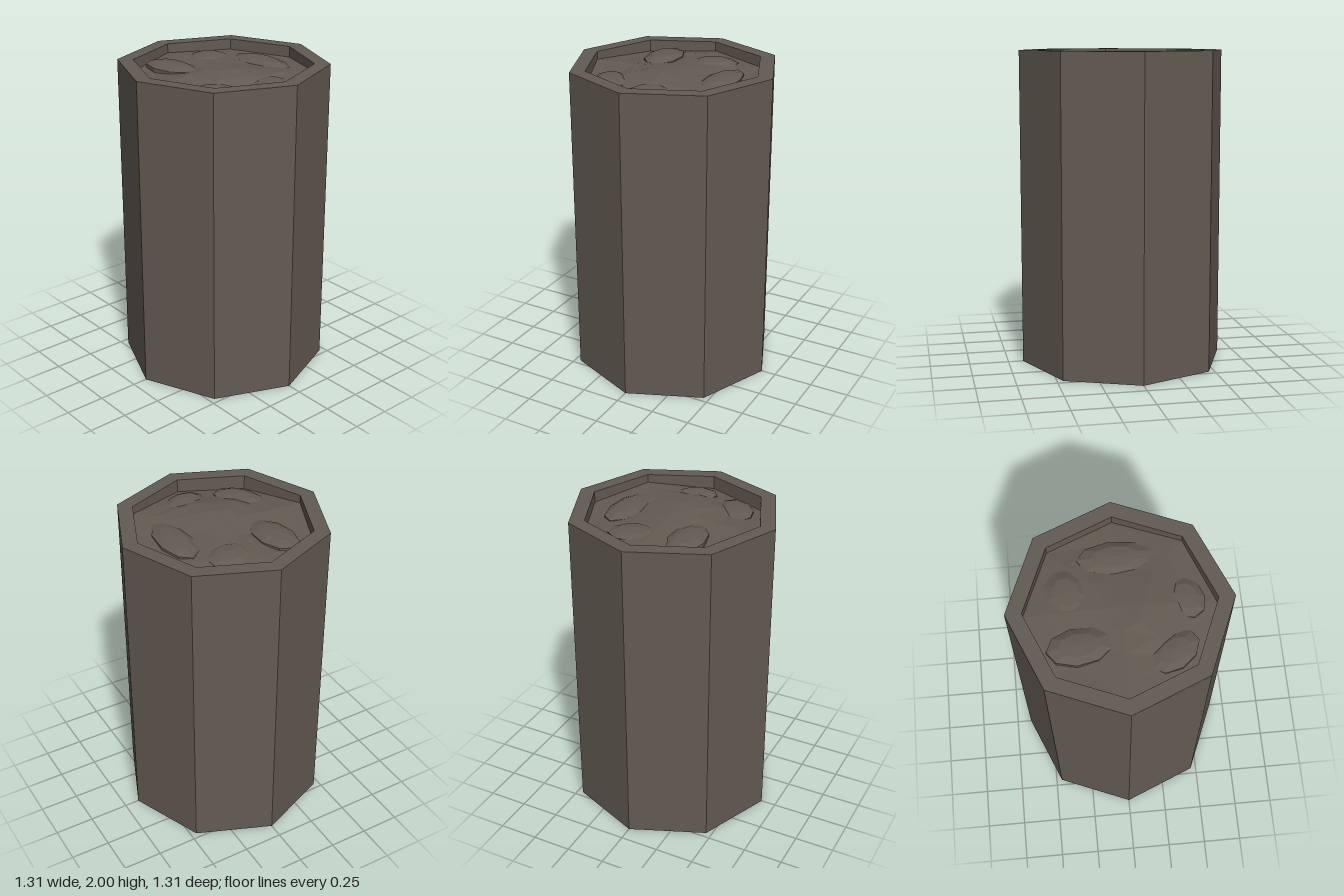
import * as THREE from 'three';

const SIDES = 8;

// Flat facets with hard edges
function faceted(geometry) {
  const g = geometry.toNonIndexed();
  g.computeVertexNormals();
  return g;
}

const profile = (pairs) => pairs.map(([r, y]) => new THREE.Vector2(r, y));

export function createModel() {
  const group = new THREE.Group();
  group.name = 'octagonalBarrel';
  const stone = new THREE.MeshStandardMaterial({ color: 0x635b52 });
  stone.name = 'brown grey';

  const add = (name, geometry) => {
    const mesh = new THREE.Mesh(faceted(geometry), stone);
    mesh.name = name;
    group.add(mesh);
    return mesh;
  };

  // Eight-sided body: base, outer wall, flat rim and inner wall
  add('body', new THREE.LatheGeometry(
    profile([[0, 0], [0.655, 0], [0.655, 2], [0.557, 2], [0.557, 1.88]]), SIDES));

  // Uneven fill inside the rim, heaped slightly in the middle
  const fill = new THREE.LatheGeometry(
    profile([[0.557, 1.93], [0.42, 1.945], [0.28, 1.96], [0.14, 1.965], [0, 1.965]]), SIDES);
  const p = fill.attributes.position;
  for (let i = 0; i < p.count; i++) {
    const x = p.getX(i), z = p.getZ(i);
    p.setY(i, p.getY(i) + 0.012 * Math.sin(9 * x + 4 * z) + 0.01 * Math.cos(11 * z - 3 * x));
  }
  add('fill', fill);

  // Flattened lumps: x, z, half width, half depth, top height, turn
  const lumps = [
    [-0.25, 0.21, 0.20, 0.12, 1.985, 0.1],
    [0.0, -0.32, 0.24, 0.11, 1.975, 0.0],
    [0.38, -0.04, 0.11, 0.14, 1.97, 0.4],
    [0.28, 0.28, 0.17, 0.11, 1.965, 0.6],
    [-0.3, -0.12, 0.13, 0.16, 1.975, 0.3],
  ];
  for (const [x, z, rx, rz, top, turn] of lumps) {
    const lump = add('lump', new THREE.SphereGeometry(1, 9, 5));
    lump.scale.set(rx, 0.04, rz);
    lump.rotation.y = turn;
    lump.position.set(x, top - 0.04, z);
  }

  return group;
}
